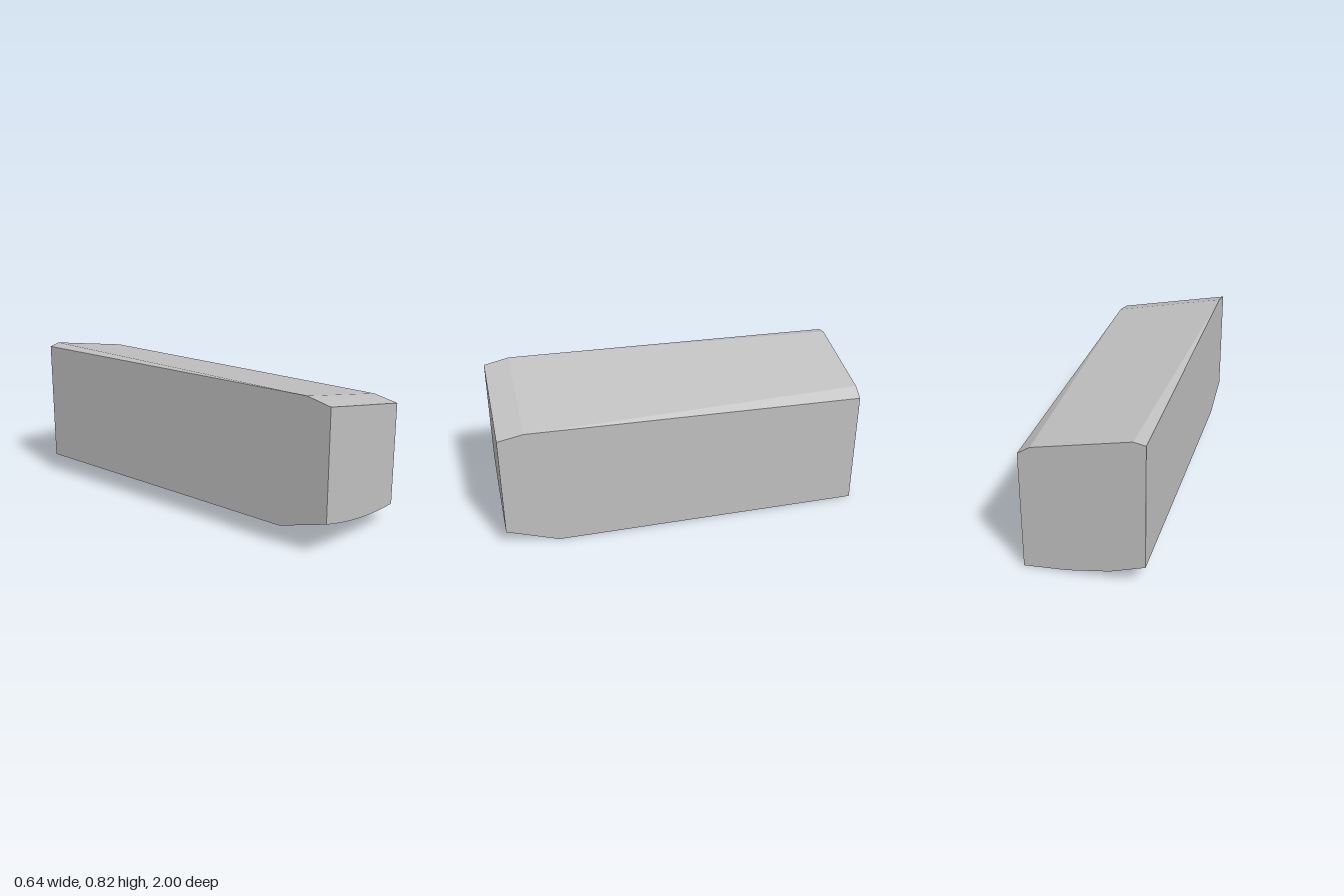
import * as THREE from 'three';
import { ConvexGeometry } from 'three/addons/geometries/ConvexGeometry.js';

const W = 0.32; // half width

export function createModel() {
  const group = new THREE.Group();
  const grey = new THREE.MeshStandardMaterial({ color: 0xc0c0c0 });
  grey.name = 'grey';

  const points = [];
  const section = (z, outline) => outline.forEach(([x, y]) => points.push(new THREE.Vector3(x, y, z)));

  // sloping top: front lip, ridge behind the front bevel, back edge with side bevels
  section(1, [[-W, 0.795], [W, 0.67]]);
  section(0.86, [[-W, 0.825], [W, 0.697]]);
  section(-1, [[-W, 0.79], [-0.257, 0.803], [0.253, 0.701], [W, 0.659]]);

  // front lower edge: a smooth curve rising towards one side
  const steps = 16;
  for (let i = 0; i <= steps; i++) {
    const t = i / steps;
    section(1, [[W - 2 * W * t, 0.099 + 0.092 * t * t]]);
  }

  // faceted underside, running straight from the front bevel to the back
  const keel = [[-W, 0.105], [-0.138, 0.048], [0.09, 0.013], [W, 0]];
  section(0.715, keel);
  section(-1, keel);

  const block = new THREE.Mesh(new ConvexGeometry(points), grey);
  block.name = 'bevelledBlock';
  group.add(block);
  return group;
}
